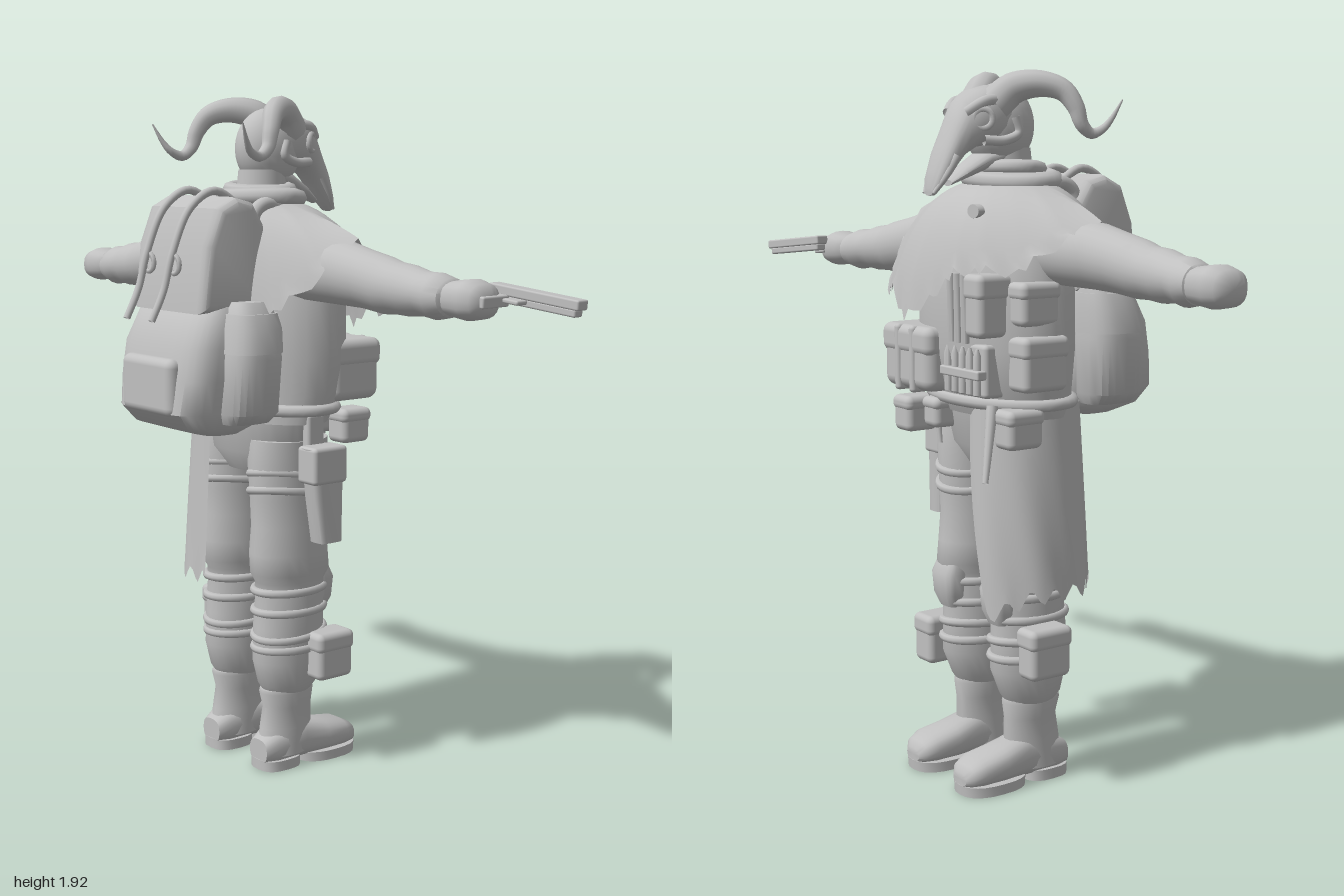
import * as THREE from 'three';
import { toCreasedNormals } from 'three/addons/utils/BufferGeometryUtils.js';
import { RoundedBoxGeometry } from 'three/addons/geometries/RoundedBoxGeometry.js';

const MID = -0.11; // z of the body's mirror plane

export function createModel() {
  const root = new THREE.Group();
  const grey = new THREE.MeshStandardMaterial({ color: 0xc0c0c0, side: THREE.DoubleSide });
  grey.name = 'light grey';

  const add = (name, geo) => {
    const mesh = new THREE.Mesh(geo, grey);
    mesh.name = name;
    root.add(mesh);
    return mesh;
  };
  const V = (p) => new THREE.Vector3(...p);
  // Grid surface from a function of (u, v) in 0..1
  const surface = (nu, nv, fn, crease = 0.8) => {
    const pos = [], idx = [];
    for (let j = 0; j <= nv; j++)
      for (let i = 0; i <= nu; i++) pos.push(...fn(i / nu, j / nv, j));
    for (let j = 0; j < nv; j++)
      for (let i = 0; i < nu; i++) {
        const a = j * (nu + 1) + i, b = a + nu + 1;
        idx.push(a, a + 1, b, a + 1, b + 1, b);
      }
    const g = new THREE.BufferGeometry();
    g.setAttribute('position', new THREE.Float32BufferAttribute(pos, 3));
    g.setIndex(idx);
    return toCreasedNormals(g, crease);
  };
  // Closed loft along an axis; rings are [t, centre a, centre b, radius a, radius b]
  // a, b = (x, z) for axis y, (x, y) for axis z, (y, z) for axis x
  const loft = (name, axis, rings, n = 24, power = 1) => {
    const f = rings[0], l = rings[rings.length - 1];
    const all = [[f[0], f[1], f[2], 0, 0], ...rings, [l[0], l[1], l[2], 0, 0]];
    const bend = (c) => Math.sign(c) * Math.abs(c) ** power;
    return add(name, surface(n, all.length - 1, (u, v, j) => {
      const [t, a, b, ra, rb] = all[j], w = u * Math.PI * 2;
      if (axis === 'y') return [a + ra * bend(Math.sin(w)), t, b + rb * bend(Math.cos(w))];
      const p = a + ra * bend(Math.cos(w)), q = b + rb * bend(Math.sin(w));
      return axis === 'z' ? [p, q, t] : [t, p, q];
    }));
  };
  // Tube with a tapering radius along a smooth path
  const taper = (name, pts, r0, r1, n = 32) => {
    const g = new THREE.TubeGeometry(new THREE.CatmullRomCurve3(pts.map(V)), n, 1, 10);
    const c = g.parameters.path, p = g.attributes.position, q = new THREE.Vector3(), o = new THREE.Vector3();
    for (let i = 0; i < p.count; i++) {
      const t = Math.floor(i / 11) / n;
      c.getPointAt(t, o);
      q.fromBufferAttribute(p, i).sub(o).multiplyScalar(r0 + (r1 - r0) * t).add(o);
      p.setXYZ(i, q.x, q.y, q.z);
    }
    return add(name, g);
  };
  const box = (name, [x0, x1], [y0, y1], [z0, z1], r = 0.012) => {
    const m = add(name, new RoundedBoxGeometry(x1 - x0, y1 - y0, z1 - z0, 3, r));
    m.position.set((x0 + x1) / 2, (y0 + y1) / 2, (z0 + z1) / 2);
    return m;
  };
  const pouch = (name, x, y, z) => {
    box(name, x, y, z, 0.018);
    const e = 0.004, h = y[1] - y[0];
    box(name + 'Flap', [x[0] - e, x[1] + e], [y[1] - h * 0.4, y[1] + e], [z[0] - e, z[1] + e], 0.018);
  };
  const hoop = (name, x, y, z, rx, rz, tube, tilt = 0) => {
    const g = new THREE.TorusGeometry(1, tube / rx, 8, 32).rotateX(Math.PI / 2).scale(rx, rx, rz);
    const m = add(name, g);
    m.position.set(x, y, z);
    m.rotation.set(tilt, 0, tilt);
  };

  // Torso, hips and belt
  loft('torso', 'y', [[1.02, 0.09, MID, 0.14, 0.235], [1.1, 0.11, MID, 0.16, 0.255], [1.2, 0.115, MID, 0.175, 0.265],
    [1.35, 0.115, MID, 0.175, 0.262], [1.45, 0.115, MID, 0.165, 0.24], [1.53, 0.1, MID, 0.145, 0.2], [1.6, 0.07, MID, 0.1, 0.13]], 32);
  loft('hips', 'y', [[0.87, 0.085, MID, 0.09, 0.13], [0.93, 0.085, MID, 0.125, 0.2], [1.06, 0.09, MID, 0.14, 0.23]], 32);
  hoop('belt', 0.1, 1.06, MID, 0.15, 0.24, 0.018);

  // Legs and boots
  for (const s of [1, -1]) {
    const z = MID + s * 0.115;
    loft('trouserLeg', 'y', [[0.22, 0.085, z, 0.07, 0.055], [0.25, 0.085, z, 0.09, 0.075], [0.32, 0.09, z, 0.115, 0.082],
      [0.42, 0.09, z, 0.112, 0.084], [0.52, 0.095, z, 0.108, 0.084], [0.555, 0.095, z, 0.112, 0.08], [0.58, 0.095, z, 0.127, 0.09],
      [0.64, 0.09, z, 0.125, 0.092], [0.72, 0.09, z, 0.118, 0.088], [0.8, 0.09, z, 0.122, 0.09], [0.9, 0.088, z, 0.127, 0.095],
      [0.97, 0.088, z, 0.12, 0.1]]);
    for (const y of [0.36, 0.4, 0.47, 0.53]) hoop('legWrap', 0.092, y, z, 0.112, 0.083, 0.012, y === 0.4 ? 0.08 : 0);
    for (const y of [0.81, 0.86]) hoop('thighStrap', 0.09, y, z, 0.122, 0.091, 0.012, -0.15);
    // Knee pad
    loft('kneePad', 'y', [[0.455, 0.18, z, 0.03, 0.035], [0.49, 0.185, z, 0.04, 0.05], [0.55, 0.185, z, 0.045, 0.055],
      [0.58, 0.18, z, 0.035, 0.05]], 16, 0.6);
    loft('bootShaft', 'y', [[0.04, 0.07, z, 0.085, 0.058], [0.12, 0.08, z, 0.085, 0.055], [0.18, 0.085, z, 0.08, 0.052],
      [0.225, 0.082, z, 0.088, 0.06], [0.235, 0.082, z, 0.086, 0.058]]);
    loft('bootFoot', 'x', [[-0.02, 0.055, z, 0.035, 0.04], [0.02, 0.065, z, 0.05, 0.055], [0.12, 0.075, z, 0.06, 0.056],
      [0.2, 0.065, z, 0.047, 0.064], [0.27, 0.06, z, 0.04, 0.064], [0.305, 0.052, z, 0.03, 0.05], [0.32, 0.045, z, 0.018, 0.03]], 20, 0.75);
    loft('heel', 'y', [[0, 0.045, z, 0.068, 0.058], [0.03, 0.045, z, 0.068, 0.058]], 20, 0.7);
    loft('sole', 'y', [[0, 0.22, z, 0.1, 0.07], [0.028, 0.22, z, 0.102, 0.07]], 24, 0.8);
  }

  // Sleeves with soft folds, and hands
  loft('rightSleeve', 'z', [[-0.89, 0.085, 1.41, 0.035, 0.035], [-0.88, 0.085, 1.41, 0.058, 0.05], [-0.84, 0.08, 1.412, 0.067, 0.06],
    [-0.8, 0.075, 1.416, 0.062, 0.057], [-0.75, 0.072, 1.42, 0.069, 0.066], [-0.7, 0.07, 1.424, 0.067, 0.066], [-0.66, 0.07, 1.43, 0.073, 0.073],
    [-0.58, 0.07, 1.442, 0.073, 0.077], [-0.5, 0.07, 1.452, 0.08, 0.084], [-0.25, 0.07, 1.465, 0.09, 0.095]]);
  loft('leftSleeve', 'z', [[0.03, 0.07, 1.465, 0.09, 0.095], [0.28, 0.07, 1.45, 0.08, 0.086], [0.36, 0.07, 1.44, 0.073, 0.078],
    [0.44, 0.07, 1.428, 0.074, 0.075], [0.48, 0.07, 1.424, 0.068, 0.068], [0.53, 0.072, 1.42, 0.069, 0.066], [0.58, 0.075, 1.416, 0.062, 0.057],
    [0.62, 0.08, 1.412, 0.067, 0.06], [0.66, 0.085, 1.41, 0.058, 0.05], [0.67, 0.085, 1.41, 0.035, 0.035]]);
  for (const s of [1, -1]) {
    const z = (d) => MID + s * d;
    const rings = [[z(0.76), 0.088, 1.41, 0.04, 0.038], [z(0.79), 0.09, 1.41, 0.062, 0.046], [z(0.84), 0.09, 1.41, 0.064, 0.052],
      [z(0.875), 0.09, 1.408, 0.055, 0.044], [z(0.89), 0.09, 1.407, 0.035, 0.025]];
    loft(s > 0 ? 'leftHand' : 'rightHand', 'z', s > 0 ? rings : rings.reverse(), 20, 0.8);
  }
  // Pistol held in the left hand
  const pistol = new THREE.Group();
  pistol.name = 'pistol';
  for (const [name, size, at] of [['slide', [0.04, 0.026, 0.28], [0, 0.012, 0]], ['frame', [0.032, 0.02, 0.26], [0, -0.009, 0]],
    ['grip', [0.1, 0.03, 0.05], [-0.06, -0.012, -0.1]], ['guard', [0.04, 0.012, 0.05], [-0.035, -0.006, -0.04]]]) {
    const m = add(name, new RoundedBoxGeometry(...size, 2, 0.005));
    m.position.set(...at);
    pistol.add(m);
  }
  pistol.position.set(0.176, 1.412, 0.86);
  pistol.rotation.set(0.1, 0.07, 0);
  root.add(pistol);

  // Ragged poncho: neck ring swept out to an uneven hem [x, y, z]
  const hem = [[0.33, 1.33, -0.11], [0.345, 1.27, -0.01], [0.31, 1.34, 0.1], [0.25, 1.32, 0.22], [0.17, 1.43, 0.29],
    [0.07, 1.545, 0.32], [-0.02, 1.44, 0.27], [-0.08, 1.34, 0.15], [-0.1, 1.3, 0.02], [-0.1, 1.3, -0.2], [-0.07, 1.36, -0.34],
    [-0.025, 1.46, -0.42], [0.07, 1.54, -0.5], [0.16, 1.49, -0.46], [0.24, 1.41, -0.38], [0.29, 1.41, -0.28], [0.315, 1.4, -0.2]];
  const M = hem.length;
  add('poncho', surface(M * 6, 12, (u, v) => {
    const k = u * M, i = Math.floor(k) % M, f = k - Math.floor(k);
    const e = hem[i].map((c, d) => c + (hem[(i + 1) % M][d] - c) * f);
    const step = Math.round(k * 6), w = Math.atan2((e[2] - MID) / 0.14, (e[0] - 0.07) / 0.09);
    const top = [0.07 + 0.09 * Math.cos(w), 1.63, MID + 0.14 * Math.sin(w)];
    const ctl = [top[0] + (e[0] - top[0]) * 0.8, 1.59, top[2] + (e[2] - top[2]) * 0.62];
    const p = top.map((c, d) => c * (1 - v) ** 2 + 2 * ctl[d] * v * (1 - v) + e[d] * v * v);
    if (v === 1 && e[1] < 1.5) p[1] += [0.012, 0, -0.012, -0.004, 0.006, 0.018, -0.006][step % (M * 6) % 7];
    return p;
  }));
  hoop('scarf', 0.065, 1.64, MID, 0.095, 0.135, 0.025, -0.05);
  hoop('scarfFold', 0.075, 1.665, MID, 0.075, 0.095, 0.02, 0.05);
  loft('brooch', 'x', [[0.24, 1.56, -0.21, 0.018, 0.025], [0.26, 1.56, -0.21, 0.018, 0.025]], 16);

  // Half skirt hanging round the right leg, its front edge cut away towards the hem
  add('halfSkirt', surface(40, 10, (u, v, j) => {
    const start = -0.5 + 0.85 * v, a = start + (3.4 - start) * u;
    const r = 0.145 + 0.028 * v + 0.005 * Math.sin(u * 26) * v;
    const jag = j === 10 ? [0.012, -0.01, -0.02, 0, 0.02][Math.round(u * 40) % 5] : 0;
    return [0.085 + (r + 0.005) * Math.cos(a), 1.05 - v * (0.5 + 0.06 * Math.max(0, 1 - u * 4)) + jag, -0.2 - r * 0.97 * Math.sin(a)];
  }));

  // Neck, hooded head and horned skull mask
  loft('neck', 'y', [[1.58, 0.075, MID, 0.075, 0.075], [1.72, 0.085, MID, 0.07, 0.065]]);
  const head = add('hood', new THREE.SphereGeometry(1, 24, 16));
  head.scale.set(0.1, 0.112, 0.082);
  head.position.set(0.105, 1.778, MID);
  loft('skullMask', 'x', [[0.1, 1.805, MID, 0.075, 0.073], [0.15, 1.805, MID, 0.078, 0.084], [0.2, 1.795, MID, 0.075, 0.082],
    [0.235, 1.772, MID, 0.074, 0.062], [0.265, 1.725, MID, 0.062, 0.052], [0.295, 1.675, MID, 0.05, 0.047],
    [0.32, 1.63, MID, 0.032, 0.034], [0.33, 1.608, MID, 0.01, 0.018]], 20, 0.85);
  loft('jaw', 'x', [[0.09, 1.71, MID, 0.03, 0.062], [0.16, 1.69, MID, 0.028, 0.05], [0.23, 1.655, MID, 0.018, 0.036],
    [0.27, 1.63, MID, 0.008, 0.02]], 16);
  for (const s of [1, -1]) {
    const z = (d) => MID + s * d;
    const socket = add('eyeSocket', new THREE.TorusGeometry(0.024, 0.009, 8, 20));
    socket.position.set(0.205, 1.795, z(0.07));
    socket.rotation.y = s * 0.6;
    taper('cheekBone', [[0.11, 1.8, z(0.08)], [0.1, 1.76, z(0.082)], [0.14, 1.74, z(0.08)], [0.2, 1.74, z(0.066)]], 0.012, 0.014);
    taper('brow', [[0.15, 1.845, z(0.07)], [0.2, 1.838, z(0.068)], [0.24, 1.81, z(0.042)]], 0.016, 0.014);
    taper('tusk', [[0.27, 1.7, z(0.044)], [0.3, 1.65, z(0.038)], [0.328, 1.605, z(0.022)]], 0.014, 0.005);
    taper('horn', [[0.15, 1.83, z(0.045)], [0.11, 1.872, z(0.068)], [0.055, 1.885, z(0.11)], [0.005, 1.868, z(0.148)], [-0.02, 1.825, z(0.17)],
      [-0.035, 1.78, z(0.177)], [-0.065, 1.757, z(0.18)], [-0.1, 1.77, z(0.185)], [-0.12, 1.795, z(0.195)], [-0.145, 1.845, z(0.21)]], 0.048, 0.002, 44);
  }

  // Backpack
  loft('lowerPack', 'y', [[1, -0.14, MID, 0.06, 0.13], [1.025, -0.16, MID, 0.12, 0.17], [1.07, -0.165, MID, 0.155, 0.19],
    [1.16, -0.16, MID, 0.148, 0.2], [1.25, -0.152, MID, 0.14, 0.2], [1.335, -0.135, MID, 0.115, 0.185], [1.385, -0.12, MID, 0.07, 0.15]], 32, 0.5);
  const shape = new THREE.Shape([[-0.03, 1.34], [-0.03, 1.57], [-0.07, 1.635], [-0.13, 1.65], [-0.19, 1.62], [-0.23, 1.52], [-0.25, 1.34]]
    .map((p) => new THREE.Vector2(...p)));
  add('upperPack', toCreasedNormals(new THREE.ExtrudeGeometry(shape,
    { depth: 0.28, bevelSize: 0.025, bevelThickness: 0.03, bevelOffset: -0.025, bevelSegments: 3 }), 0.6)).position.z = MID - 0.14;
  box('packPocket', [-0.325, -0.25], [1.06, 1.22], [MID - 0.12, MID + 0.12], 0.025);
  for (const s of [1, -1]) {
    // Side pocket tapering towards its top and bottom
    const side = MID + s * 0.18;
    loft('packSidePocket', 'y', [[1.04, -0.12, side, 0.07, 0.05], [1.07, -0.12, side, 0.085, 0.085], [1.22, -0.115, side, 0.085, 0.097],
      [1.32, -0.11, side, 0.075, 0.08], [1.37, -0.1, side, 0.055, 0.04]], 24, 0.7);
    loft('packSideFlap', 'y', [[1.235, -0.115, side, 0.088, 0.1], [1.3, -0.11, side, 0.083, 0.092], [1.34, -0.107, side, 0.074, 0.072]], 24, 0.7);
    const z = MID + s * 0.06, y = MID + s * 0.13;
    taper('packStrap', [[-0.04, 1.62, z], [-0.13, 1.665, z], [-0.21, 1.62, z], [-0.27, 1.5, z], [-0.3, 1.4, z], [-0.34, 1.32, z]], 0.012, 0.01);
    taper('shoulderStrap', [[-0.06, 1.5, y], [-0.04, 1.61, y], [0.01, 1.63, y], [0.08, 1.58, y]], 0.02, 0.018);
    const buckle = add('packBuckle', new THREE.TorusGeometry(0.025, 0.007, 6, 16));
    buckle.position.set(-0.265, 1.47, z);
    buckle.rotation.y = Math.PI / 2;
  }

  // Chest and belt gear
  box('bedroll', [0.14, 0.32], [1.075, 1.245], [-0.088, 0.138], 0.03);
  for (const z of [-0.01, 0.06]) box('bedrollStrap', [0.14, 0.327], [1.07, 1.25], [z - 0.012, z + 0.012], 0.01);
  box('bedrollFlap', [0.14, 0.325], [1.17, 1.25], [-0.092, 0.142], 0.025);
  pouch('chestPouch', [0.2, 0.31], [1.24, 1.4], [-0.31, -0.235]);
  for (const z of [-0.15, -0.18, -0.21]) loft('knifeSheath', 'y', [[1.22, 0.285, z, 0.012, 0.01], [1.4, 0.285, z, 0.016, 0.013]], 10);
  box('cartridgePanel', [0.2, 0.275], [1.08, 1.22], [-0.285, -0.11]);
  for (let i = 0; i < 5; i++) {
    const z = -0.13 - i * 0.033;
    loft('cartridge', 'y', [[1.09, 0.285, z, 0.011, 0.011], [1.19, 0.285, z, 0.011, 0.011], [1.21, 0.285, z, 0.004, 0.004]], 10);
  }
  box('cartridgeBand', [0.27, 0.3], [1.13, 1.155], [-0.285, -0.11], 0.005);
  pouch('rightSidePouch', [0.08, 0.22], [1.1, 1.24], [-0.385, -0.3]);
  pouch('rightUpperPouch', [0.1, 0.22], [1.27, 1.38], [-0.375, -0.3]);
  pouch('frontBeltPouch', [0.2, 0.3], [0.95, 1.045], [0.04, 0.12]);
  pouch('smallBeltPouch', [0.19, 0.27], [0.97, 1.05], [-0.05, 0.02]);
  pouch('rightBeltPouch', [0.14, 0.25], [0.95, 1.05], [-0.36, -0.28]);
  taper('knife', [[0.25, 1.06, -0.28], [0.275, 0.97, -0.3], [0.305, 0.87, -0.325]], 0.016, 0.008);
  taper('hangingTrinket', [[0.24, 1.05, -0.02], [0.25, 0.99, -0.03], [0.25, 0.93, -0.04]], 0.012, 0.006);
  // Holster on the left thigh
  loft('holster', 'y', [[0.69, 0.105, 0.155, 0.04, 0.03], [0.82, 0.095, 0.155, 0.05, 0.033], [0.96, 0.09, 0.155, 0.06, 0.035]], 20, 0.45);
  box('holsterFlap', [0.03, 0.15], [0.86, 0.965], [0.115, 0.195]);
  box('holsterHanger', [0.06, 0.12], [0.94, 1.05], [0.1, 0.13], 0.01);
  // Calf pouches
  pouch('leftCalfPouch', [0.1, 0.225], [0.27, 0.405], [0.055, 0.14]);
  pouch('rightCalfPouch', [0.06, 0.19], [0.325, 0.46], [-0.38, -0.305]);
  return root;
}
